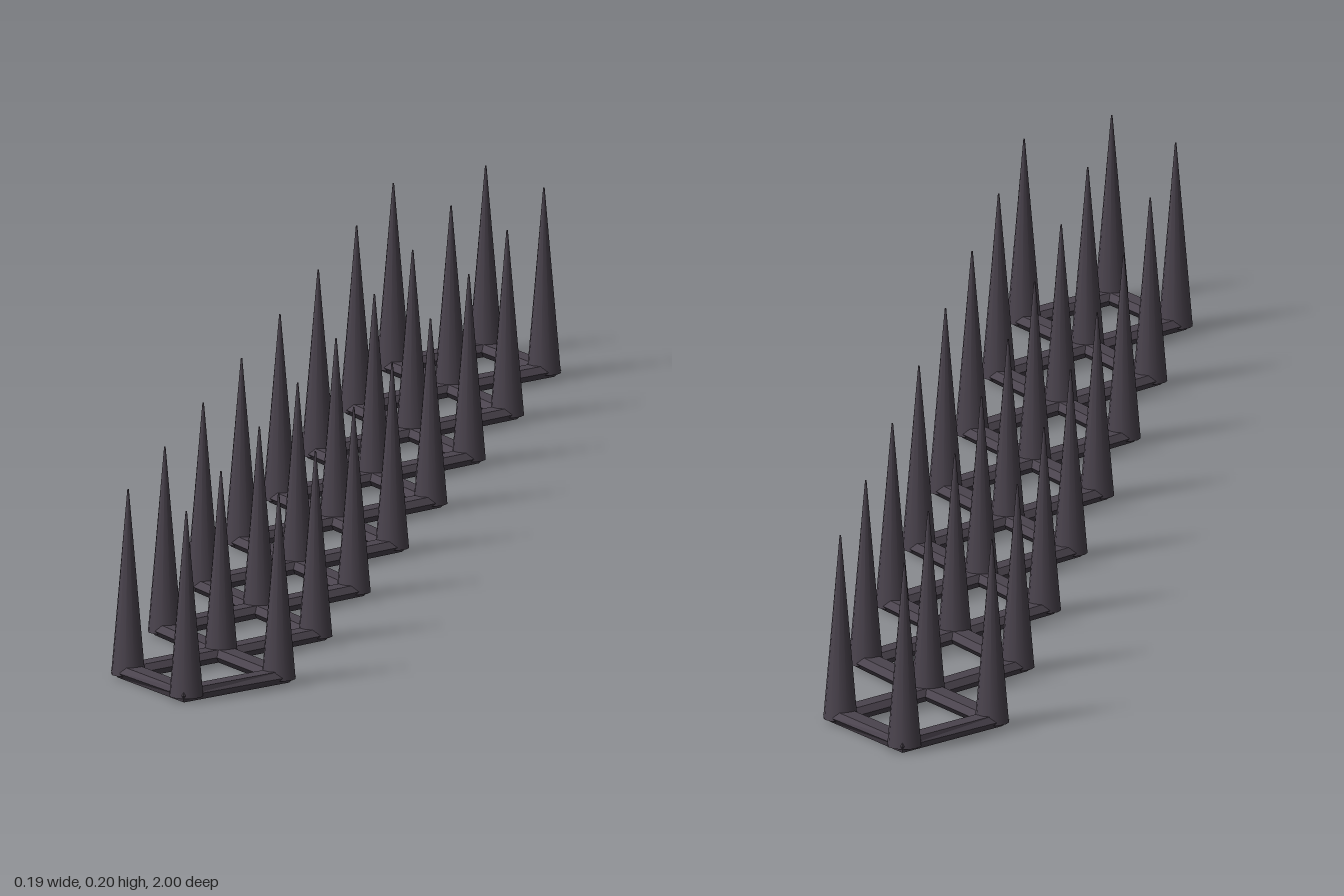
import * as THREE from 'three';

const SIDE = 0.079;   // x of the outer corners
const END = 0.98;     // z of the end corners

// z of each row of corners: even spacing, slightly pulled in at the ends
const rowZ = (i) => {
  const k = i - 8;
  if (Math.abs(k) === 8) return Math.sign(k) * END;
  if (Math.abs(k) === 7) return Math.sign(k) * 0.868;
  return k * 0.1255;
};

// One closed strip weaving up one side and back down the other, mitred at corners
function latticeGeometry() {
  const path = [];
  const strandX = (i) => [0, SIDE, 0, -SIDE][i % 4];
  for (let i = 0; i <= 16; i++) path.push(new THREE.Vector2(strandX(i), rowZ(i)));
  for (let i = 15; i > 0; i--) path.push(new THREE.Vector2(-strandX(i), rowZ(i)));

  // bevelled bar section: sideways offset, height
  const section = [[-0.015, 0.007], [-0.009, 0.0135], [0.009, 0.0135],
    [0.015, 0.007], [0.009, 0], [-0.009, 0]];
  const n = path.length, m = section.length;
  const positions = [], index = [];
  path.forEach((p, i) => {
    const a = p.clone().sub(path[(i + n - 1) % n]).normalize();
    const b = path[(i + 1) % n].clone().sub(p).normalize();
    const na = new THREE.Vector2(-a.y, a.x), nb = new THREE.Vector2(-b.y, b.x);
    const mitre = na.clone().add(nb).normalize();
    mitre.divideScalar(mitre.dot(na));
    for (const [s, y] of section) {
      const z = THREE.MathUtils.clamp(p.y + mitre.y * s, -1, 1); // blunt end tips
      positions.push(p.x + mitre.x * s, y, z);
    }
  });
  for (let i = 0; i < n; i++) {
    for (let j = 0; j < m; j++) {
      const a = i * m + j, b = i * m + (j + 1) % m;
      const c = ((i + 1) % n) * m + j, d = ((i + 1) % n) * m + (j + 1) % m;
      index.push(a, b, c, b, d, c);
    }
  }
  const geo = new THREE.BufferGeometry();
  geo.setAttribute('position', new THREE.Float32BufferAttribute(positions, 3));
  geo.setIndex(index);
  const flat = geo.toNonIndexed();
  flat.computeVertexNormals();
  return flat;
}

export function createModel() {
  const group = new THREE.Group();
  group.name = 'spikeStrip';
  const material = new THREE.MeshStandardMaterial({ color: 0x4a434d, side: THREE.DoubleSide });

  // Flat diamond lattice
  const lattice = new THREE.Mesh(latticeGeometry(), material);
  lattice.name = 'lattice';
  group.add(lattice);

  // Upright spike on every corner
  const spikes = new THREE.Group();
  spikes.name = 'spikes';
  const bottom = 0.004, top = 0.199;
  const spikeGeo = new THREE.CylinderGeometry(0.0008, 0.0178, top - bottom, 12);
  spikeGeo.translate(0, (top + bottom) / 2, 0);
  for (let i = 0; i <= 16; i++) {
    for (const x of i % 2 ? [-SIDE, SIDE] : [0]) {
      const spike = new THREE.Mesh(spikeGeo, material);
      spike.name = 'spike';
      spike.position.set(x, 0, rowZ(i));
      spikes.add(spike);
    }
  }
  group.add(spikes);
  return group;
}
